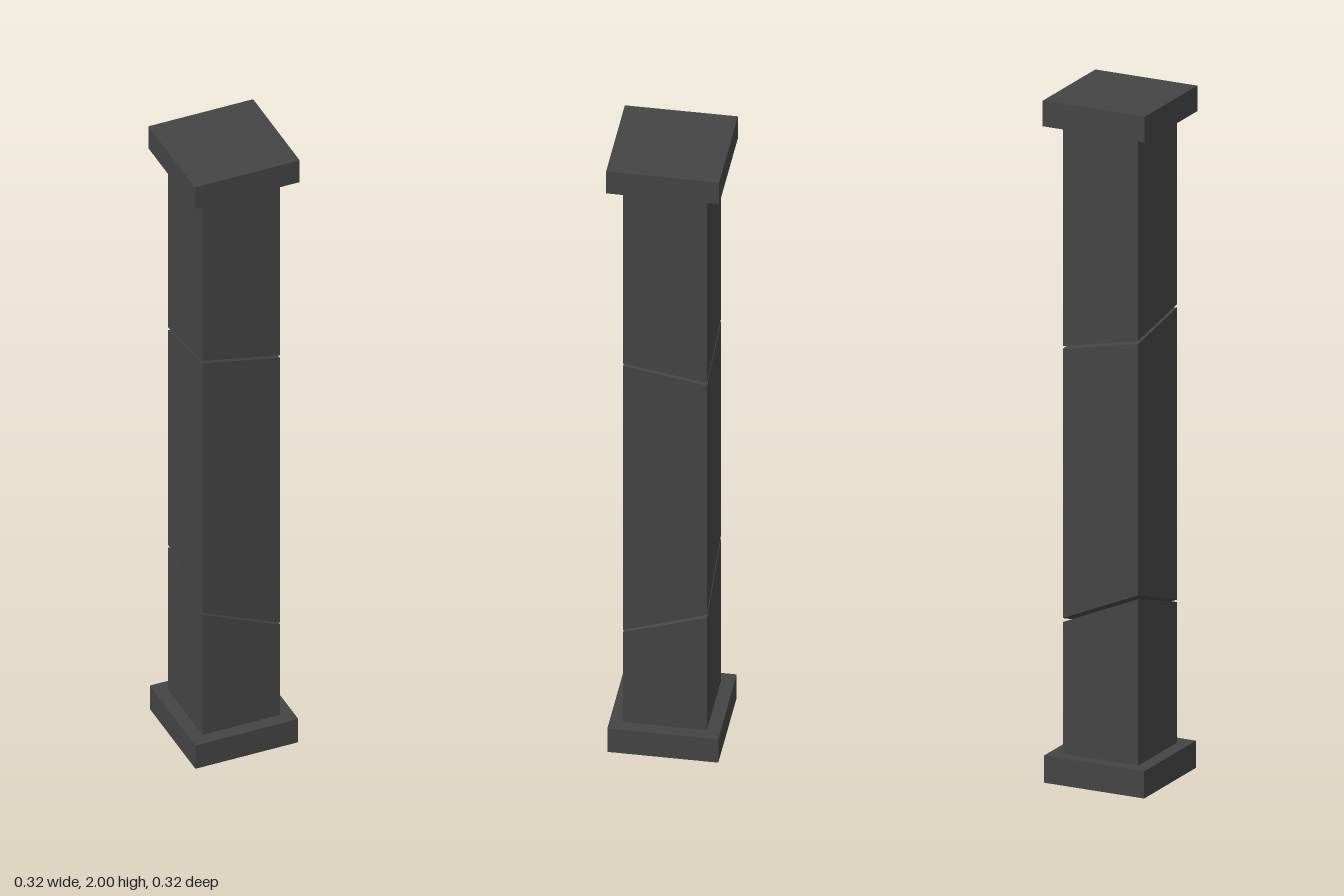
import * as THREE from 'three';

const SHAFT = 0.237; // shaft width and depth

// Height of a slanted cut: value at the centre plus slopes along x and z
const cut = (centre, slopeX = 0, slopeZ = 0) => (x, z) => centre + slopeX * x + slopeZ * z;

export function createModel() {
  const group = new THREE.Group();
  const stone = new THREE.MeshStandardMaterial({ color: 0x444444, flatShading: true });

  const add = (name, geometry, y = 0) => {
    const mesh = new THREE.Mesh(geometry, stone);
    mesh.name = name;
    mesh.position.y = y;
    group.add(mesh);
  };

  // Square block whose bottom and top faces follow the given cuts
  const block = (bottom, top) => {
    const geometry = new THREE.BoxGeometry(SHAFT, 1, SHAFT);
    const p = geometry.attributes.position;
    for (let i = 0; i < p.count; i++) {
      const face = p.getY(i) < 0 ? bottom : top;
      p.setY(i, face(p.getX(i), p.getZ(i)));
    }
    geometry.computeVertexNormals();
    return geometry;
  };

  // Plinth and cap
  add('base', new THREE.BoxGeometry(0.314, 0.08, 0.314), 0.04);
  add('cap', new THREE.BoxGeometry(0.32, 0.075, 0.32), 1.9625);

  // Shaft broken into three pieces with thin slanted cracks between them
  add('lowerShaft', block(cut(0.08), cut(0.479, -0.43, -0.32)));
  add('middleShaft', block(cut(0.488, -0.43, -0.34), cut(1.311, -0.21, 0.17)));
  add('upperShaft', block(cut(1.32, -0.21, 0.17), cut(1.925)));

  return group;
}
